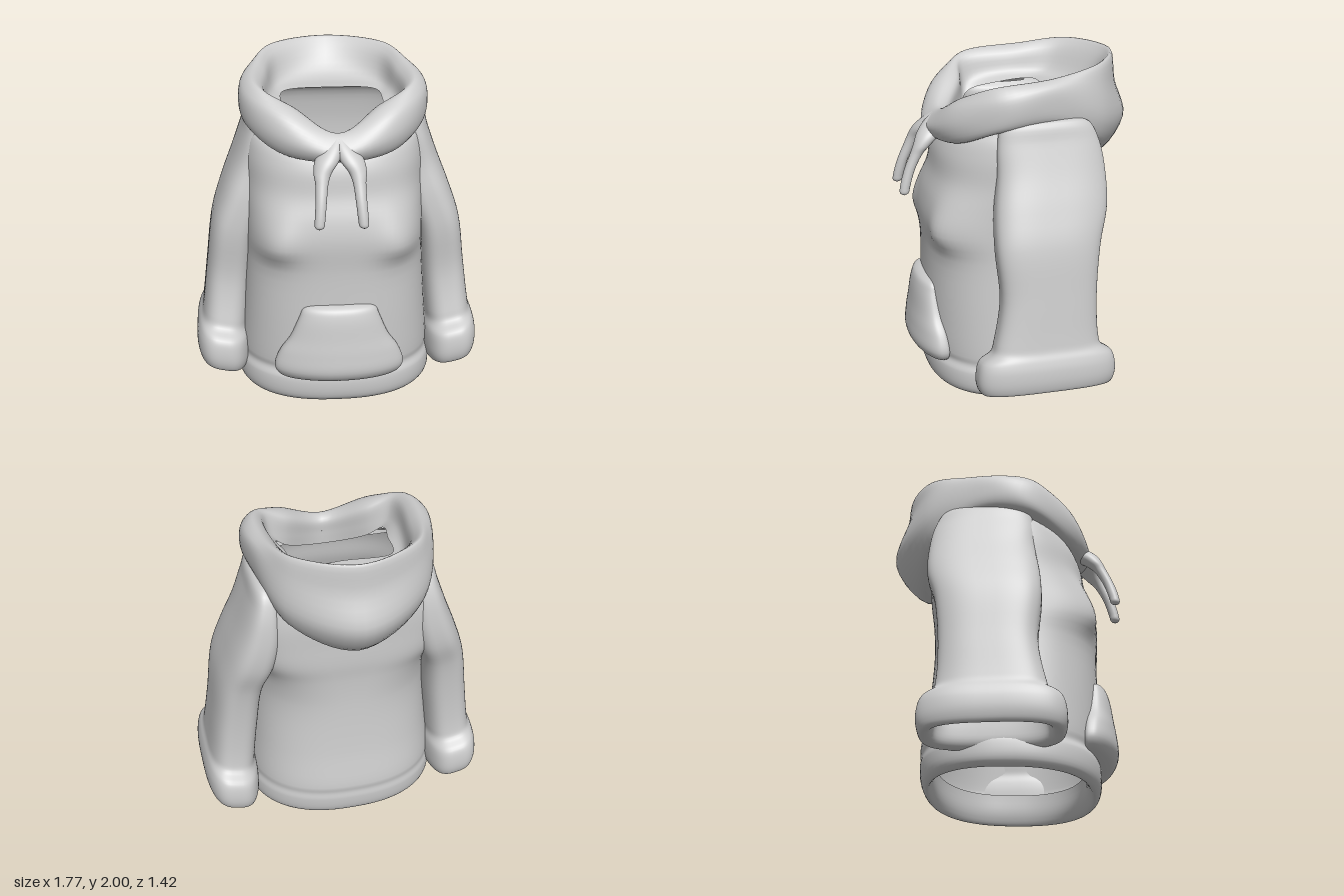
import * as THREE from 'three';

const SEG = 80;
const { smoothstep } = THREE.MathUtils;
const material = new THREE.MeshStandardMaterial({ color: 0xcccccc, side: THREE.DoubleSide });

// Horizontal rounded cross-section between x0..x1 and zb..zf; tilts lean it along x or z
function ring(y, x0, x1, zf, zb, { power = 2.5, backPower = power, tiltX = 0, tiltZ = 0 } = {}) {
  const cx = (x0 + x1) / 2, cz = (zf + zb) / 2;
  return Array.from({ length: SEG }, (_, i) => {
    const a = (i / SEG) * Math.PI * 2;
    const soft = (v) => Math.sign(v) * Math.abs(v) ** (2 / (Math.cos(a) > 0 ? power : backPower));
    const dx = ((x1 - x0) / 2) * soft(Math.sin(a));
    const z = cz + ((zf - zb) / 2) * soft(Math.cos(a));
    return new THREE.Vector3(cx + dx, y + tiltX * dx + tiltZ * z, z);
  });
}

// Closed ring through half a loop of points (front centre to back centre), mirrored in x
function mirroredRing(half) {
  const right = half.map((p) => new THREE.Vector3(...p));
  const left = right.slice(1, -1).reverse().map((p) => new THREE.Vector3(-p.x, p.y, p.z));
  const curve = new THREE.CatmullRomCurve3([...right, ...left], true);
  return Array.from({ length: SEG }, (_, i) => curve.getPoint(i / SEG));
}

// Smooth skin over a stack of rings; deform adjusts each point
function loft(name, rings, deform, steps = 5) {
  const rows = (rings.length - 1) * steps;
  const pos = [], index = [];
  const columns = rings[0].map((_, i) => new THREE.CatmullRomCurve3(rings.map((r) => r[i])));
  for (let j = 0; j <= rows; j++) {
    for (let i = 0; i < SEG; i++) {
      const p = columns[i].getPoint(j / rows);
      if (deform) deform(p);
      pos.push(p.x, p.y, p.z);
      if (j === rows) continue;
      const a = j * SEG + i, b = j * SEG + ((i + 1) % SEG);
      index.push(a, b, b + SEG, a, b + SEG, a + SEG);
    }
  }
  const geo = new THREE.BufferGeometry();
  geo.setAttribute('position', new THREE.Float32BufferAttribute(pos, 3));
  geo.setIndex(index);
  geo.computeVertexNormals();
  const mesh = new THREE.Mesh(geo, material);
  mesh.name = name;
  return mesh;
}

// Torso: inner lip, rolled hem, outer wall, sloping neckline [y, half width, front, back, tilt]
function makeBody() {
  const sections = [
    [0.2, 0.52, 0.47, -0.42, -0.02], [0.07, 0.53, 0.48, -0.43, -0.02], [0.012, 0.56, 0.52, -0.46, -0.025],
    [0.045, 0.6, 0.555, -0.49, -0.02], [0.15, 0.605, 0.565, -0.505], [0.2, 0.59, 0.545, -0.5],
    [0.25, 0.59, 0.555, -0.505], [0.5, 0.57, 0.56, -0.465], [0.85, 0.545, 0.555, -0.435],
    [1.05, 0.535, 0.565, -0.435], [1.18, 0.53, 0.545, -0.445], [1.32, 0.53, 0.5, -0.445],
    [1.5, 0.53, 0.475, -0.44, -0.08], [1.64, 0.51, 0.43, -0.39, -0.2], [1.69, 0.47, 0.38, -0.26, -0.25],
  ];
  // the upper back is broad and flat so it runs into the sleeves
  const rings = sections.map(([y, w, f, b, t = 0]) => ring(y, -w, w, f, b, {
    power: 2.4, backPower: 2.4 + 2 * smoothstep(y, 0.9, 1.3), tiltZ: t,
  }));
  return loft('body', rings, (p) => {
    // shoulders flow out into the sleeves
    const shoulder = smoothstep(p.y, 1.0, 1.25) * (1 - smoothstep(p.y, 1.4, 1.7));
    p.x *= 1 + 0.12 * shoulder * Math.exp(-(((p.z + 0.2) / 0.28) ** 2));
    if (p.z > 0) { // padded chest, sharper along its lower edge
      const h = (p.y - 1.01) / (p.y > 1.01 ? 0.22 : 0.1);
      p.z += 0.075 * Math.exp(-(((Math.abs(p.x) - 0.39) / 0.15) ** 2) - h * h);
    }
  });
}

// Sleeve with puffed open cuff [y, inner x, outer x, front, back, front power]
function makeSleeve(side) {
  const sections = [
    [1.72, 0.42, 0.46, 0.05, -0.2, 2.4], [1.69, 0.38, 0.53, 0.17, -0.34, 2.4], [1.58, 0.38, 0.565, 0.2, -0.4, 2.5],
    [1.4, 0.38, 0.625, 0.21, -0.43, 2.7], [1.2, 0.42, 0.7, 0.24, -0.425, 3], [1.0, 0.49, 0.765, 0.25, -0.37],
    [0.7, 0.53, 0.805, 0.23, -0.34], [0.45, 0.555, 0.835, 0.275, -0.345], [0.39, 0.56, 0.845, 0.295, -0.36],
    [0.34, 0.55, 0.865, 0.365, -0.425], [0.28, 0.545, 0.88, 0.385, -0.445], [0.19, 0.55, 0.88, 0.385, -0.445],
    [0.14, 0.57, 0.86, 0.36, -0.42], [0.155, 0.61, 0.825, 0.31, -0.37], [0.25, 0.62, 0.815, 0.28, -0.34],
    [0.6, 0.59, 0.75, 0.2, -0.3],
  ];
  const rings = sections.reverse().map(([y, a, b, f, k, power = 3.1]) =>
    ring(y, side > 0 ? a : -b, side > 0 ? b : -a, f, k, { power, backPower: 3.1, tiltX: side * 0.22 }));
  return loft(side > 0 ? 'leftSleeve' : 'rightSleeve', rings);
}

// Hood: each row is one loop from the outer bottom edge, over the rim, down to the neck hole
function makeHood() {
  const loops = [
    [[0, 1.54, 0.42], [0.28, 1.55, 0.34], [0.44, 1.64, 0.18], [0.45, 1.66, -0.12], [0.33, 1.54, -0.37], [0, 1.38, -0.42]],
    [[0, 1.535, 0.5], [0.32, 1.565, 0.41], [0.52, 1.67, 0.18], [0.515, 1.7, -0.15], [0.37, 1.52, -0.43], [0, 1.355, -0.53]],
    [[0, 1.59, 0.54], [0.34, 1.67, 0.44], [0.55, 1.76, 0.16], [0.535, 1.8, -0.15], [0.41, 1.66, -0.48], [0, 1.59, -0.71]],
    [[0, 1.65, 0.5], [0.32, 1.78, 0.41], [0.53, 1.86, 0.18], [0.52, 1.91, -0.15], [0.385, 1.87, -0.47], [0, 1.82, -0.64]],
    [[0, 1.69, 0.44], [0.27, 1.82, 0.34], [0.46, 1.91, 0.2], [0.46, 1.945, -0.15], [0.36, 1.99, -0.445], [0, 2, -0.615]],
    [[0, 1.66, 0.39], [0.24, 1.79, 0.27], [0.4, 1.87, 0.21], [0.4, 1.9, -0.12], [0.32, 1.94, -0.4], [0, 1.96, -0.57]],
    [[0, 1.58, 0.385], [0.24, 1.68, 0.26], [0.37, 1.75, 0.19], [0.37, 1.79, -0.08], [0.3, 1.79, -0.32], [0, 1.79, -0.42]],
    [[0, 1.5, 0.385], [0.24, 1.6, 0.26], [0.33, 1.69, 0.19], [0.31, 1.74, 0], [0.28, 1.76, -0.2], [0, 1.77, -0.22]],
  ];
  return loft('hood', loops.map(mirroredRing));
}

// Front pouch, bent round the belly [y, half width, front]
function makePocket() {
  const sections = [
    [0.165, 0.02, 0.52], [0.17, 0.27, 0.59], [0.195, 0.36, 0.64], [0.25, 0.39, 0.67], [0.35, 0.36, 0.665],
    [0.45, 0.295, 0.65], [0.58, 0.24, 0.63], [0.635, 0.215, 0.61], [0.655, 0.16, 0.58], [0.66, 0.02, 0.54],
  ];
  const rings = sections.map(([y, w, f]) => ring(y, -w, w, f, 0.5, { power: 2.8 }));
  return loft('pocket', rings, (p) => { p.z -= 0.5 * p.x * p.x; });
}

// Drawstring, spreading from the knot under the V and hanging forward [y, centre x, centre z, radius]
function makeCord(side) {
  const sections = [
    [1.67, 0.01, 0.45, 0.03], [1.62, 0.035, 0.485, 0.055], [1.56, 0.07, 0.52, 0.07], [1.5, 0.1, 0.565, 0.052],
    [1.45, 0.107, 0.6, 0.038], [1.35, 0.115, 0.648, 0.032], [1.25, 0.124, 0.678, 0.03], [1.215, 0.127, 0.684, 0.026],
    [1.2, 0.128, 0.686, 0.003],
  ];
  const rings = sections.reverse().map(([y, x, z, r]) =>
    ring(y, side * x - r, side * x + r, z + r, z - r, { power: 2 }));
  return loft(side > 0 ? 'leftDrawstring' : 'rightDrawstring', rings);
}

export function createModel() {
  const group = new THREE.Group();
  group.name = 'hoodedSweater';
  // The torso sits slightly off centre between the sleeves
  const torso = new THREE.Group();
  torso.name = 'torso';
  torso.position.x = -0.017;
  torso.add(makeBody(), makeHood(), makePocket(), makeCord(1), makeCord(-1));
  group.add(torso, makeSleeve(1), makeSleeve(-1));
  return group;
}
